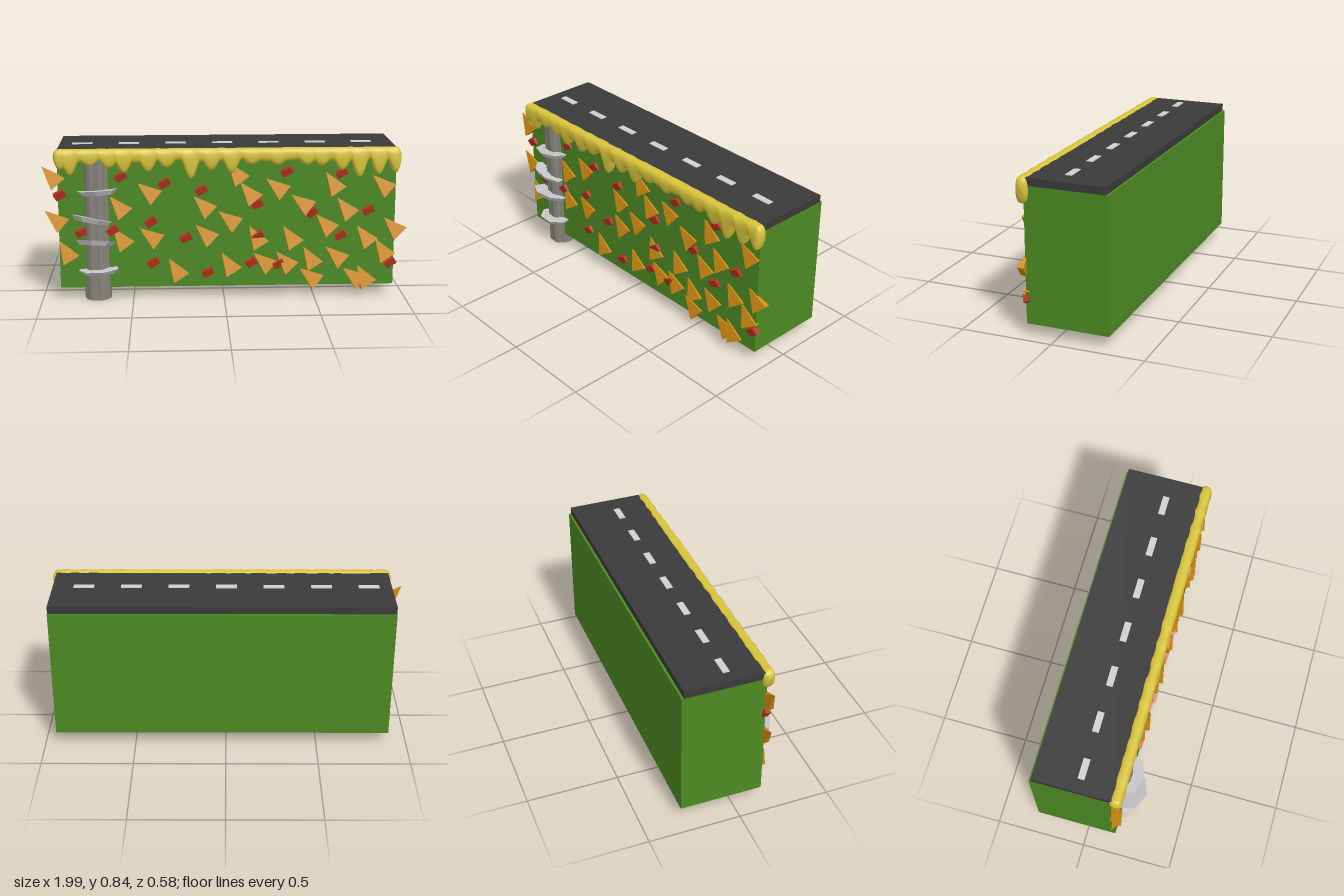
import * as THREE from 'three';

const mat = (name, color, extra = {}) => {
  const m = new THREE.MeshStandardMaterial({ color, ...extra });
  m.name = name;
  return m;
};

export function createModel() {
  const root = new THREE.Group();
  root.name = 'roadBlock';
  const flat = { flatShading: true };
  const green = mat('grass green', 0x4c8a22, flat);
  const asphalt = mat('asphalt', 0x3a3a3a, flat);
  const paint = mat('road paint', 0xd0d0d0, flat);
  const yellow = mat('sauce yellow', 0xd8c43a);
  const orange = mat('chip orange', 0xd48e12, flat);
  const red = mat('chunk red', 0xb8351f, flat);
  const bark = mat('bark grey', 0x85827a, flat);
  const fungus = mat('fungus grey', 0xc8c8ca, flat);

  const add = (name, geo, material, x = 0, y = 0, z = 0, parent = root) => {
    const m = new THREE.Mesh(geo, material);
    m.name = name;
    m.position.set(x, y, z);
    parent.add(m);
    return m;
  };
  const group = (name) => {
    const g = new THREE.Group();
    g.name = name;
    root.add(g);
    return g;
  };

  // Main block and road slab
  add('block', new THREE.BoxGeometry(1.84, 0.73, 0.45), green, 0.02, 0.43, -0.065);
  add('road', new THREE.BoxGeometry(1.84, 0.04, 0.432), asphalt, 0.02, 0.815, -0.061);
  const lane = group('laneDashes');
  for (let i = 0; i < 7; i++) {
    add('laneDash', new THREE.BoxGeometry(0.112, 0.006, 0.036), paint, -0.775 + i * 0.2575, 0.836, -0.03, lane);
  }

  // Dripping sauce: rounded cross-sections swept along x, lower edge set by the drips
  const drips = [[-0.88, 0.73], [-0.83, 0.7], [-0.72, 0.745], [-0.62, 0.735], [-0.54, 0.71], [-0.41, 0.715],
    [-0.31, 0.735], [-0.18, 0.675], [-0.07, 0.72], [0.04, 0.705], [0.15, 0.75], [0.29, 0.745], [0.45, 0.745],
    [0.53, 0.74], [0.64, 0.715], [0.735, 0.675], [0.84, 0.69], [0.935, 0.7]];
  const lowerEdge = (x) => {
    let y = 0.772 + 0.006 * Math.sin(x * 17);
    for (const [dx, tip] of drips) {
      const t = Math.abs(x - dx) / 0.048;
      if (t < 1) y = Math.min(y, 0.775 - (0.775 - tip) * Math.pow(1 - t * t, 1.3));
    }
    return y;
  };
  const nx = 380, nr = 20, x0 = -0.92, x1 = 0.965, pos = [], idx = [];
  for (let i = 0; i <= nx; i++) {
    const x = x0 + (x1 - x0) * i / nx;
    const d = Math.min(1, Math.min(x - x0, x1 - x) / 0.03);
    const s = Math.sqrt(Math.max(0, 1 - (1 - d) ** 2));
    const low = lowerEdge(x), mid = (0.842 + low) / 2, half = (0.842 - low) / 2;
    for (let j = 0; j < nr; j++) {
      const a = j / nr * Math.PI * 2, c = Math.cos(a), n = Math.sin(a);
      const y = mid + half * s * Math.sign(n) * Math.pow(Math.abs(n), 0.8);
      const z = 0.168 + 0.034 * s * Math.sign(c) * Math.pow(Math.abs(c), 0.7);
      pos.push(x, y, z + Math.max(0, 0.74 - y) * 0.1);
      if (i < nx) {
        const p = i * nr + j, q = i * nr + (j + 1) % nr;
        idx.push(p, p + nr, q, q, p + nr, q + nr);
      }
    }
  }
  const sauceGeo = new THREE.BufferGeometry();
  sauceGeo.setAttribute('position', new THREE.Float32BufferAttribute(pos, 3));
  // wind outward: ring runs counter-clockwise from +z to +y
  for (let k = 0; k < idx.length; k += 3) [idx[k + 1], idx[k + 2]] = [idx[k + 2], idx[k + 1]];
  const ax = new THREE.Vector3().fromArray(pos, (5 * nr) * 3);
  const e1 = new THREE.Vector3().fromArray(pos, idx[5 * nr * 6 + 1] * 3).sub(ax);
  const e2 = new THREE.Vector3().fromArray(pos, idx[5 * nr * 6 + 2] * 3).sub(ax);
  if (e1.cross(e2).z < 0) {
    for (let k = 0; k < idx.length; k += 3) [idx[k + 1], idx[k + 2]] = [idx[k + 2], idx[k + 1]];
  }
  sauceGeo.setIndex(idx);
  sauceGeo.computeVertexNormals();
  add('drippingSauce', sauceGeo, yellow);

  // Trunk with bark grooves
  const trunkGeo = new THREE.CylinderGeometry(0.073, 0.073, 0.78, 30, 1);
  const tp = trunkGeo.attributes.position;
  for (let i = 0; i < tp.count; i++) {
    const x = tp.getX(i), z = tp.getZ(i);
    const k = Math.round(Math.atan2(z, x) / (Math.PI / 15));
    const f = k % 4 === 0 ? 0.92 : 1;
    tp.setX(i, x * f);
    tp.setZ(i, z * f);
  }
  add('trunk', trunkGeo, bark, -0.695, 0.39, 0.13);

  // Shelf fungi: tilted seven-sided plates, thinner underneath
  const shelves = group('shelfFungi');
  const shelfData = [[-0.685, 0.605, 0.18, -0.12, 0.06, 0.085], [-0.72, 0.45, 0.18, -0.2, -0.2, 0.085],
    [-0.705, 0.325, 0.195, -0.3, -0.05, 0.1], [-0.685, 0.163, 0.175, 0.02, 0.06, 0.085]];
  shelfData.forEach(([x, y, z, rx, rz, depth], i) => {
    const g = new THREE.CylinderGeometry(0.113, 0.088, 0.026, 7);
    g.rotateY(i * 0.4);
    g.scale(1, 1, depth / 0.113);
    add('shelfFungus', g, fungus, x, y, z, shelves).rotation.set(rx, 0, rz);
  });

  // Chips: flat four-sided spikes, mostly pointing up and to the right side
  const chips = group('chips');
  const chipGeo = new THREE.CylinderGeometry(0, Math.SQRT1_2, 0.13, 4, 1, false, Math.PI / 4);
  chipGeo.scale(0.1, 1, 0.032);
  chipGeo.rotateY(0.16);
  const chipAt = [[-0.94, 0.70], [-0.925, 0.46], [-0.87, 0.28], [-0.42, 0.61], [-0.58, 0.53], [-0.57, 0.35],
    [-0.41, 0.36], [-0.27, 0.17], [-0.12, 0.53], [-0.11, 0.37], [0.02, 0.2], [0.02, 0.45], [0.06, 0.71],
    [0.13, 0.6], [0.28, 0.63], [0.17, 0.35], [0.21, 0.21], [0.33, 0.21], [0.36, 0.35], [0.42, 0.54],
    [0.59, 0.65], [0.55, 0.42], [0.61, 0.24], [0.47, 0.23], [0.47, 0.12], [0.66, 0.51], [0.77, 0.35],
    [0.71, 0.12], [0.77, 0.12], [0.86, 0.64], [0.925, 0.4], [0.87, 0.27]];
  chipAt.forEach(([x, y], i) => {
    add('chip', chipGeo, orange, x, y, 0.164, chips).rotation.set(0, 0, 0.72 + 0.2 * Math.sin(i * 2.4));
  });

  // Small red chunks between the chips
  const chunks = group('chunks');
  const chunkGeo = new THREE.BoxGeometry(0.062, 0.04, 0.03);
  const chunkAt = [[-0.89, 0.59], [-0.56, 0.69], [-0.325, 0.65], [-0.125, 0.61], [0.34, 0.71], [0.64, 0.7],
    [0.79, 0.49], [0.48, 0.48], [0.18, 0.53], [-0.4, 0.435], [-0.21, 0.345], [0.185, 0.35], [0.64, 0.35],
    [0.92, 0.19], [0.3, 0.19], [0.15, 0.2], [-0.09, 0.145], [-0.39, 0.205], [-0.78, 0.38], [-0.61, 0.39]];
  chunkAt.forEach(([x, y], i) => {
    add('chunk', chunkGeo, red, x, y, 0.16, chunks).rotation.set(0.25, 0.1, 0.5 + 0.12 * Math.sin(i * 3.1));
  });

  return root;
}
